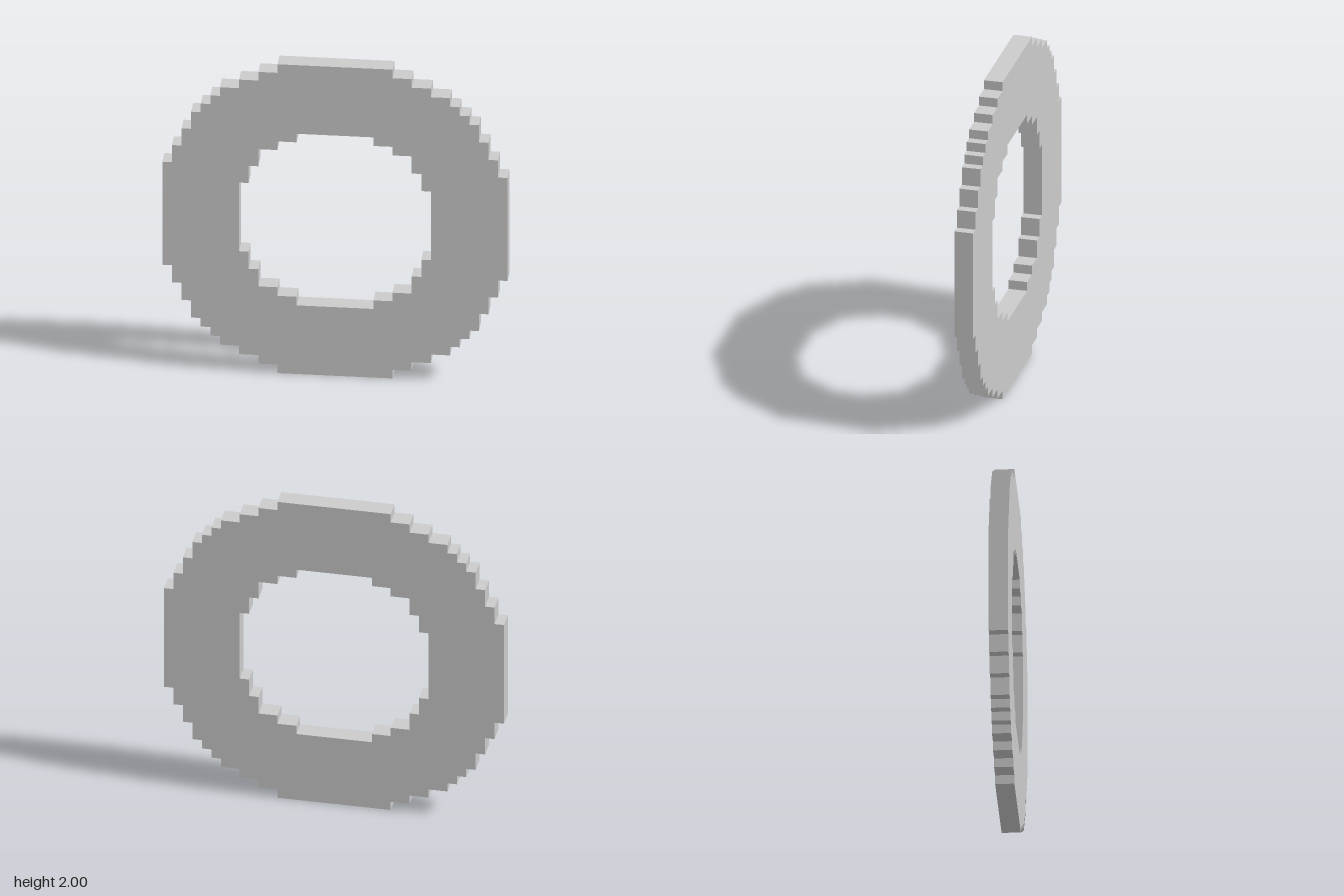
import * as THREE from 'three';

const UNIT = 1 / 18; // size of one block

// Outward corners of one quarter, from top to side, in blocks
const OUTER = [[6, 18], [8, 17], [10, 16], [12, 15], [13, 14], [14, 13], [15, 12], [16, 10], [17, 8], [18, 6]];
const INNER = [[4, 10], [6, 9], [8, 8], [9, 6], [10, 4]];

// Closed stepped outline, anticlockwise: one quarter of stairs, turned four times
function steppedOutline(corners) {
  const quarter = [];
  corners.forEach(([x, y], i) => {
    quarter.push([x, y]);
    if (i < corners.length - 1) quarter.push([x, corners[i + 1][1]]);
  });
  const points = [];
  for (let q = 0; q < 4; q++) {
    for (const p of quarter) {
      let [x, y] = p;
      for (let k = 0; k < q; k++) [x, y] = [y, -x];
      points.push(new THREE.Vector2(x * UNIT, y * UNIT));
    }
  }
  return points.reverse();
}

export function createModel() {
  const group = new THREE.Group();
  group.name = 'blockRing';

  // Flat ring with a stepped rim and a stepped hole
  const shape = new THREE.Shape(steppedOutline(OUTER));
  shape.holes.push(new THREE.Path(steppedOutline(INNER)));
  const depth = 2 * UNIT;
  const geometry = new THREE.ExtrudeGeometry(shape, { depth, bevelEnabled: false });
  geometry.translate(0, 1, -depth / 2);

  const material = new THREE.MeshStandardMaterial({ color: 0xcccccc, flatShading: true });
  const ring = new THREE.Mesh(geometry, material);
  ring.name = 'steppedRing';
  group.add(ring);
  return group;
}
